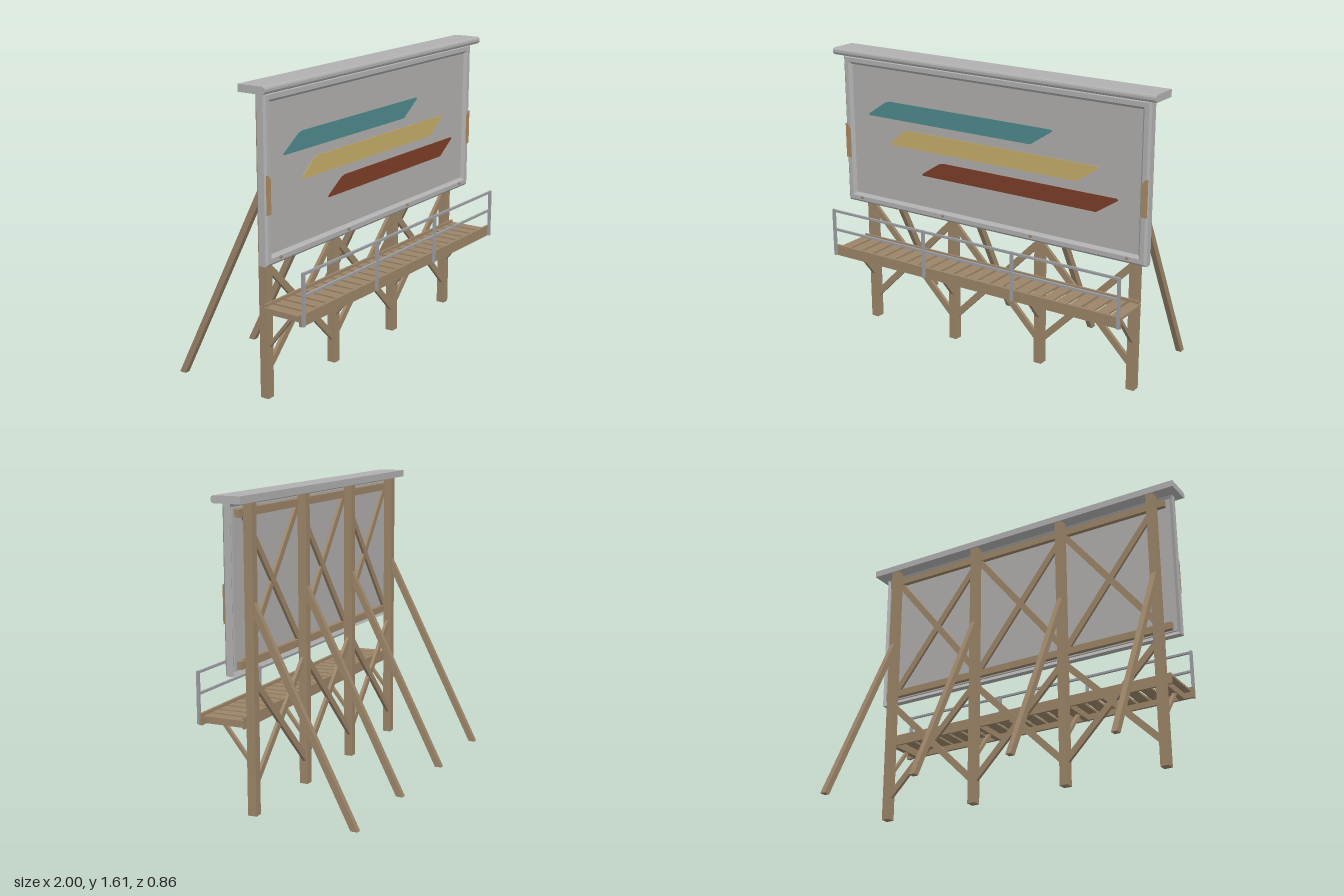
import * as THREE from 'three';

const mat = (name, color) => {
  const m = new THREE.MeshStandardMaterial({ color });
  m.name = name;
  return m;
};

export function createModel() {
  const root = new THREE.Group();
  root.name = 'billboard';
  const wood = mat('wood', 0x9b8468);
  const sheet = mat('panelGrey', 0xb0aeab);
  const metal = mat('metalGrey', 0xb0b0b0);
  const rail = mat('railGrey', 0x9c9ea2);
  const teal = mat('tealPaint', 0x4f898c);
  const yellow = mat('yellowPaint', 0xc4ad69);
  const red = mat('redPaint', 0x7c3d26);
  const tan = mat('tanPaint', 0xa88a62);

  const add = (name, geometry, material, x = 0, y = 0, z = 0) => {
    const mesh = new THREE.Mesh(geometry, material);
    mesh.name = name;
    mesh.position.set(x, y, z);
    root.add(mesh);
    return mesh;
  };
  // box given by its limits on each axis
  const block = (name, material, x0, x1, y0, y1, z0, z1) =>
    add(name, new THREE.BoxGeometry(x1 - x0, y1 - y0, z1 - z0), material,
      (x0 + x1) / 2, (y0 + y1) / 2, (z0 + z1) / 2);
  const shapeOf = (pts) => new THREE.Shape(pts.map(([a, b]) => new THREE.Vector2(a, b)));
  // side profile of [z, y] points, extruded along x
  const profileX = (name, material, pts, width, x = 0) => {
    const g = new THREE.ExtrudeGeometry(shapeOf(pts), { depth: width, bevelEnabled: false });
    g.rotateY(-Math.PI / 2).translate(width / 2, 0, 0);
    return add(name, g, material, x);
  };
  // thin painted plate of [x, y] points
  const plate = (name, material, pts, z) =>
    add(name, new THREE.ExtrudeGeometry(shapeOf(pts), { depth: 0.003, bevelEnabled: false }), material, 0, 0, z);
  // diagonal board in the xy plane
  const diagonal = (name, x0, y0, x1, y1, z, width, depth) => {
    const length = Math.hypot(x1 - x0, y1 - y0);
    const m = add(name, new THREE.BoxGeometry(length, width, depth), wood, (x0 + x1) / 2, (y0 + y1) / 2, z);
    m.rotation.z = Math.atan2(y1 - y0, x1 - x0);
  };

  const postX = [-0.856, -0.285, 0.285, 0.856];
  for (const x of postX) {
    block('post', wood, x - 0.023, x + 0.023, 0, 1.575, 0.122, 0.17);
    // long rear strut, cut flat on the ground
    profileX('rearStrut', wood, [[-0.43, 0], [-0.392, 0], [0.13, 1.025], [0.13, 1.1]], 0.03, x);
    // walkway joist with its knee brace
    block('walkwayJoist', wood, x - 0.015, x + 0.015, 0.45, 0.487, 0.165, 0.402);
    profileX('kneeBrace', wood, [[0.165, 0.292], [0.165, 0.265], [0.315, 0.452], [0.293, 0.452]], 0.02, x);
    // bolt on the lower edge of the frame
    const bolt = add('bolt', new THREE.CylinderGeometry(0.008, 0.008, 0.014, 10), wood, x, 0.757, 0.242);
    bolt.rotation.x = Math.PI / 2;
  }

  // crossed braces in each bay, below and behind the panel
  for (let i = 0; i < 3; i++) {
    const a = postX[i], b = postX[i + 1];
    diagonal('lowerBrace', a, 0.13, b, 0.7, 0.142, 0.036, 0.018);
    diagonal('lowerBrace', a, 0.7, b, 0.13, 0.15, 0.036, 0.018);
    diagonal('upperBrace', a, 0.79, b, 1.51, 0.179, 0.036, 0.015);
    diagonal('upperBrace', a, 1.51, b, 0.79, 0.182, 0.036, 0.015);
  }
  for (const y of [0.777, 1.52]) block('girt', wood, -0.92, 0.92, y - 0.02, y + 0.02, 0.168, 0.197);

  // display panel inside a bevelled frame
  block('displayPanel', sheet, -0.94, 0.94, 0.75, 1.55, 0.194, 0.222);
  const rings = [[0, 0.192], [0, 0.23], [0.012, 0.241], [0.036, 0.241], [0.046, 0.228], [0.053, 0.22]];
  const corner = (inset, z, k) => {
    const sx = [1, 1, -1, -1][k % 4], sy = [-1, 1, 1, -1][k % 4];
    return [sx * (0.96 - inset), 1.15 + sy * (0.422 - inset), z];
  };
  const pos = [];
  for (let r = 0; r < rings.length; r++) {
    const p = rings[r], q = rings[(r + 1) % rings.length];
    for (let k = 0; k < 4; k++) {
      const a = corner(...p, k), b = corner(...p, k + 1), c = corner(...q, k + 1), d = corner(...q, k);
      pos.push(...a, ...b, ...c, ...a, ...c, ...d);
    }
  }
  const frame = new THREE.BufferGeometry();
  frame.setAttribute('position', new THREE.Float32BufferAttribute(pos, 3));
  frame.computeVertexNormals();
  add('panelFrame', frame, metal);

  // slanted painted stripes: left tip, top left, right tip, bottom right
  const stripe = (name, material, y0, y1, x0, x1, x2, x3) =>
    plate(name, material, [[x0, y0], [x3, y0], [x2, y1 - 0.008], [x2 - 0.01, y1], [x1, y1],
      [x1 - 0.03, y1 - 0.008], [x0, y0 + 0.01]], 0.222);
  stripe('tealStripe', teal, 1.246, 1.342, -0.797, -0.65, 0.4, 0.267);
  stripe('yellowStripe', yellow, 1.098, 1.196, -0.652, -0.525, 0.673, 0.545);
  stripe('redStripe', red, 0.957, 1.048, -0.433, -0.29, 0.788, 0.662);
  // patches on the frame edges
  for (const s of [-1, 1]) {
    const pts = [[0.925, 0.985], [0.958, 0.985], [0.958, 1.18], [0.945, 1.18], [0.925, 1.155]];
    plate('framePatch', tan, pts.map(([x, y]) => [s * x, y]), 0.241);
  }

  // roof cap with a rounded nose
  profileX('roofCap', metal, [[0.115, 1.572], [0.262, 1.572], [0.271, 1.578], [0.275, 1.586],
    [0.275, 1.598], [0.271, 1.606], [0.262, 1.61], [0.115, 1.61]], 2);

  // walkway
  for (let i = 0; i < 23; i++) {
    const x = (i - 11) * 0.0797;
    block('walkwaySlat', wood, x - 0.031, x + 0.031, 0.485, 0.497, 0.172, 0.402);
  }
  block('frontFascia', wood, -0.922, 0.922, 0.452, 0.512, 0.4, 0.415);
  block('backStringer', wood, -0.9, 0.9, 0.452, 0.512, 0.17, 0.182);

  // guard rail
  for (const x of [-0.914, -0.285, 0.285, 0.914])
    block('railPost', rail, x - 0.007, x + 0.007, 0.455, 0.727, 0.414, 0.429);
  for (const y of [0.61, 0.72]) block('handRail', rail, -0.92, 0.92, y - 0.006, y + 0.006, 0.416, 0.428);

  return root;
}
